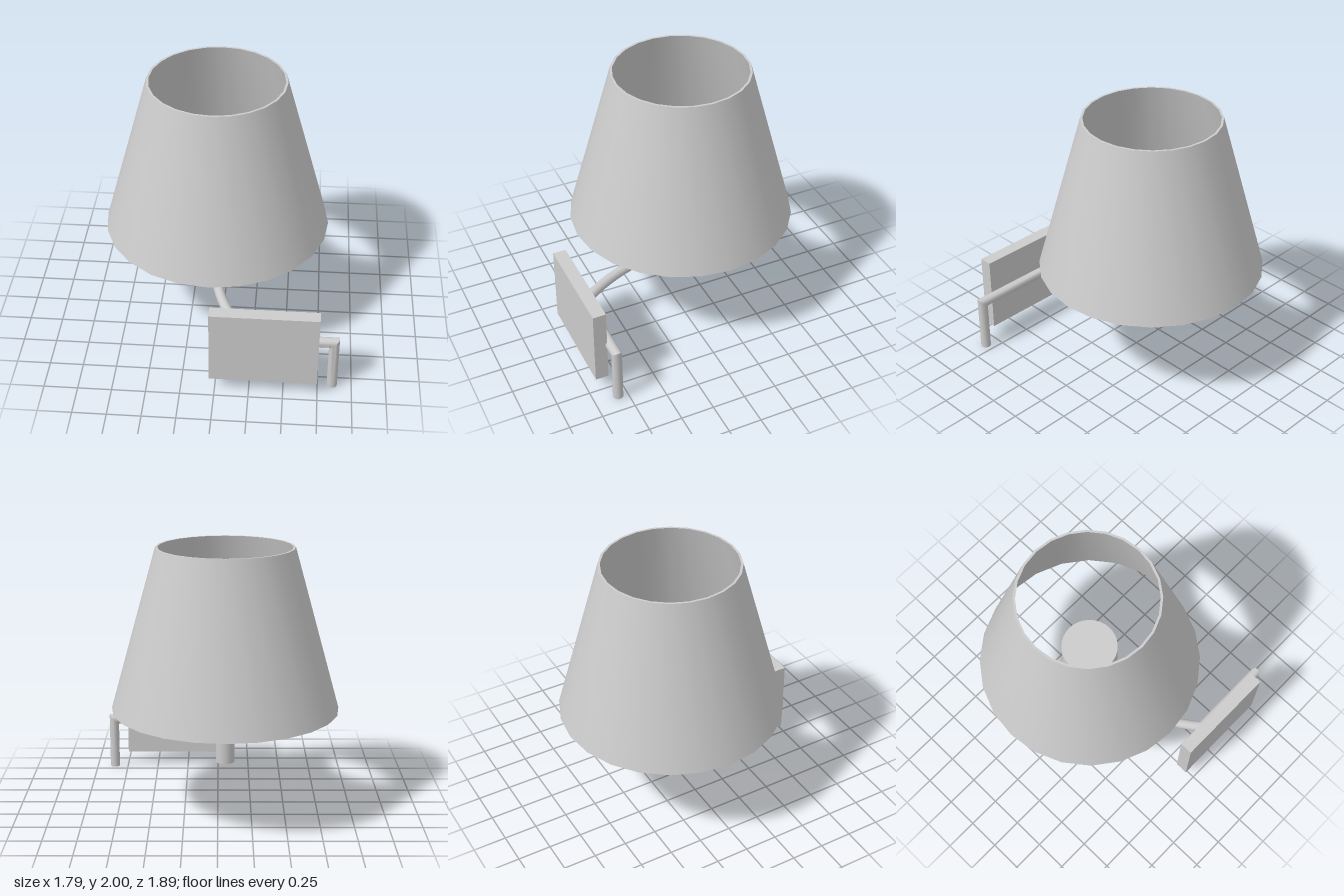
import * as THREE from 'three';
import { toCreasedNormals } from 'three/addons/utils/BufferGeometryUtils.js';

const material = new THREE.MeshStandardMaterial({ color: 0xcccccc });
const CX = -0.055, CZ = -0.1; // axis of the shade, socket and stem

// Round rod along a path: each ring is slid along its segment onto the mitre plane of the next corner.
function mitredRod(path, radius, sides) {
  const dirs = path.slice(1).map((p, i) => p.clone().sub(path[i]).normalize());
  const u = new THREE.Vector3(0, 1, 0);
  const v = dirs[0].clone().cross(u);
  let ring = Array.from({ length: sides }, (_, j) => {
    const a = (j / sides) * Math.PI * 2;
    return path[0].clone().addScaledVector(u, radius * Math.cos(a)).addScaledVector(v, radius * Math.sin(a));
  });
  const pos = [], index = [];
  ring.forEach((p) => pos.push(...p));
  dirs.forEach((d, i) => {
    const n = d.clone().add(dirs[i + 1] ?? d);
    ring = ring.map((p) => p.clone().addScaledVector(d, path[i + 1].clone().sub(p).dot(n) / d.dot(n)));
    ring.forEach((p) => pos.push(...p));
    for (let j = 0; j < sides; j++) {
      const k = (j + 1) % sides, a = i * sides;
      index.push(a + j, a + k, a + sides + j, a + k, a + sides + k, a + sides + j);
    }
  });
  // End caps
  const last = dirs.length * sides;
  for (let j = 1; j < sides - 1; j++) index.push(0, j + 1, j, last, last + j, last + j + 1);
  const g = new THREE.BufferGeometry();
  g.setAttribute('position', new THREE.Float32BufferAttribute(pos, 3));
  g.setIndex(index);
  return toCreasedNormals(g, 0.6);
}

export function createModel() {
  const group = new THREE.Group();
  const add = (name, geometry, x = 0, y = 0, z = 0) => {
    const mesh = new THREE.Mesh(geometry, material);
    mesh.name = name;
    mesh.position.set(x, y, z);
    group.add(mesh);
  };

  // Tapered shade with a thin wall, open at both ends
  const wall = [[0.825, 0.795], [0.842, 0.795], [0.506, 2], [0.489, 2], [0.825, 0.795]];
  const shade = new THREE.LatheGeometry(wall.map(([r, y]) => new THREE.Vector2(r, y)), 24);
  add('lampShade', toCreasedNormals(shade, 0.6), CX, 0, CZ);

  // Bulb socket and the stem under it
  add('socket', new THREE.CylinderGeometry(0.21, 0.21, 0.42, 32), CX, 0.86, CZ);
  add('stem', new THREE.CylinderGeometry(0.07, 0.07, 0.28, 24), CX, 0.51, CZ);

  // Arm: arc from the stem to the wall, a straight run behind the plate, then a drop
  const y = 0.407, R = 1.356, sweep = 0.684, path = [];
  for (let i = 0; i <= 12; i++) {
    const a = (i / 12) * sweep;
    path.push(new THREE.Vector3(CX + R * (1 - Math.cos(a)), y, -0.035 + R * Math.sin(a)));
  }
  const z = path[12].z;
  path.push(new THREE.Vector3(0.857, y, z), new THREE.Vector3(0.857, 0, z));
  add('arm', mitredRod(path, 0.038, 20));

  // Wall plate
  add('wallPlate', new THREE.BoxGeometry(0.785, 0.59, 0.098), 0.353, 0.405, 0.896);

  return group;
}
